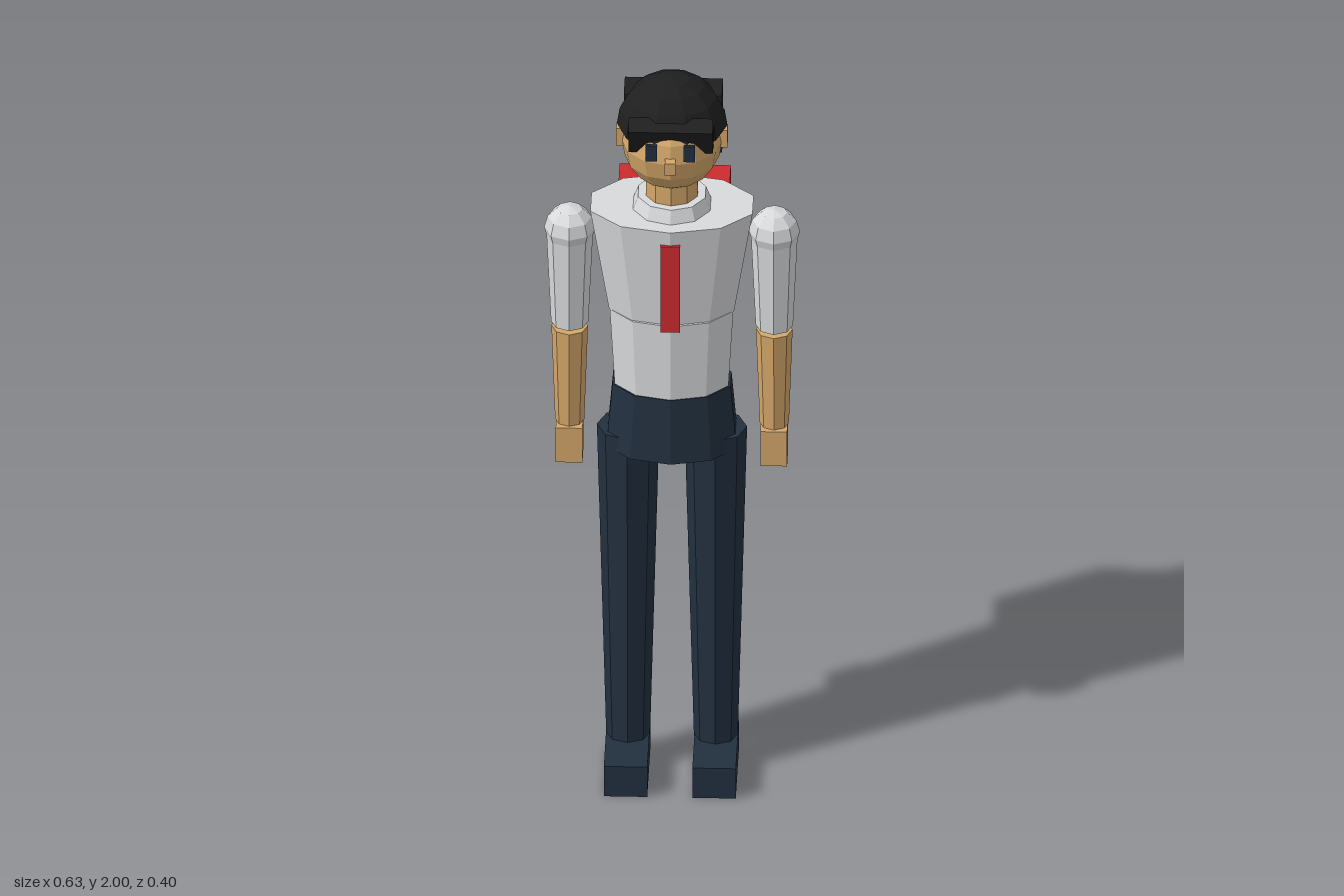
import * as THREE from 'three';

const mat = (name, color) => {
  const m = new THREE.MeshStandardMaterial({ color, flatShading: true });
  m.name = name;
  return m;
};

export function createModel() {
  const skin = mat('skin', 0xd4a76a);
  const shirt = mat('shirt grey', 0xd9dadc);
  const navy = mat('navy', 0x22303f);
  const red = mat('red', 0xcc2c2e);
  const hair = mat('hair black', 0x1f1f1f);

  const model = new THREE.Group();
  const cz = 0.04; // depth of the body axis

  const add = (name, geo, m, x, y, z) => {
    const mesh = new THREE.Mesh(geo, m);
    mesh.name = name;
    mesh.position.set(x, y, z);
    model.add(mesh);
    return mesh;
  };
  // box given by its size and centre
  const box = (name, m, w, h, d, x, y, z) => add(name, new THREE.BoxGeometry(w, h, d), m, x, y, z);
  // tapered prism between two heights, squashed in depth
  const taper = (name, m, rTop, rBot, yTop, yBot, x, sides, squash = 1) => {
    const geo = new THREE.CylinderGeometry(rTop, rBot, yTop - yBot, sides);
    geo.scale(1, 1, squash);
    return add(name, geo, m, x, (yTop + yBot) / 2, cz);
  };

  // trunk
  taper('chest', shirt, 0.21, 0.162, 1.635, 1.345, 0, 10, 0.65);
  taper('waist', shirt, 0.16, 0.147, 1.345, 1.12, 0, 10, 0.7);
  taper('hips', navy, 0.153, 0.169, 1.125, 0.945, 0, 10, 0.69);
  taper('collar', shirt, 0.087, 0.1, 1.67, 1.635, 0, 10);
  taper('neck', skin, 0.067, 0.067, 1.75, 1.64, 0, 10);
  box('tie', red, 0.048, 0.25, 0.021, 0, 1.47, 0.167);
  box('backpack', red, 0.274, 0.345, 0.138, 0, 1.4225, -0.131);

  // head
  add('head', new THREE.SphereGeometry(0.126, 12, 8), skin, 0, 1.825, cz);
  box('nose', skin, 0.026, 0.034, 0.03, 0, 1.825, 0.168);

  // hair
  const dome = new THREE.SphereGeometry(0.136, 10, 5, 0, Math.PI * 2, 0, Math.PI / 2);
  dome.scale(1, 1.03, 0.92);
  hair.side = THREE.DoubleSide;
  add('hairCap', dome, hair, 0, 1.86, 0.028);
  box('hairBack', hair, 0.242, 0.165, 0.08, 0, 1.827, -0.065);
  box('fringe', hair, 0.208, 0.085, 0.045, 0, 1.885, 0.12).rotation.x = 0.4;

  for (const [side, s] of [['left', 1], ['right', -1]]) {
    // face sides
    box(side + 'Ear', skin, 0.03, 0.05, 0.03, s * 0.122, 1.835, cz);
    box(side + 'Eye', navy, 0.028, 0.045, 0.009, s * 0.047, 1.855, 0.155);

    // arm
    add(side + 'Shoulder', new THREE.SphereGeometry(0.063, 8, 6), shirt, s * 0.252, 1.56, cz);
    taper(side + 'Sleeve', shirt, 0.058, 0.046, 1.56, 1.285, s * 0.252, 8);
    taper(side + 'Forearm', skin, 0.045, 0.036, 1.273, 1.0, s * 0.252, 8);
    box(side + 'Hand', skin, 0.066, 0.1, 0.078, s * 0.252, 0.95, 0.045);

    // leg
    taper(side + 'Leg', navy, 0.077, 0.054, 0.987, 0.08, s * 0.108, 8, 0.92);
    box(side + 'Shoe', navy, 0.107, 0.087, 0.22, s * 0.109, 0.0435, 0.09);
  }

  // shift so depth is centred on z = 0
  model.updateMatrixWorld(true);
  const b = new THREE.Box3().setFromObject(model);
  for (const c of model.children) c.position.z -= (b.min.z + b.max.z) / 2;
  return model;
}
